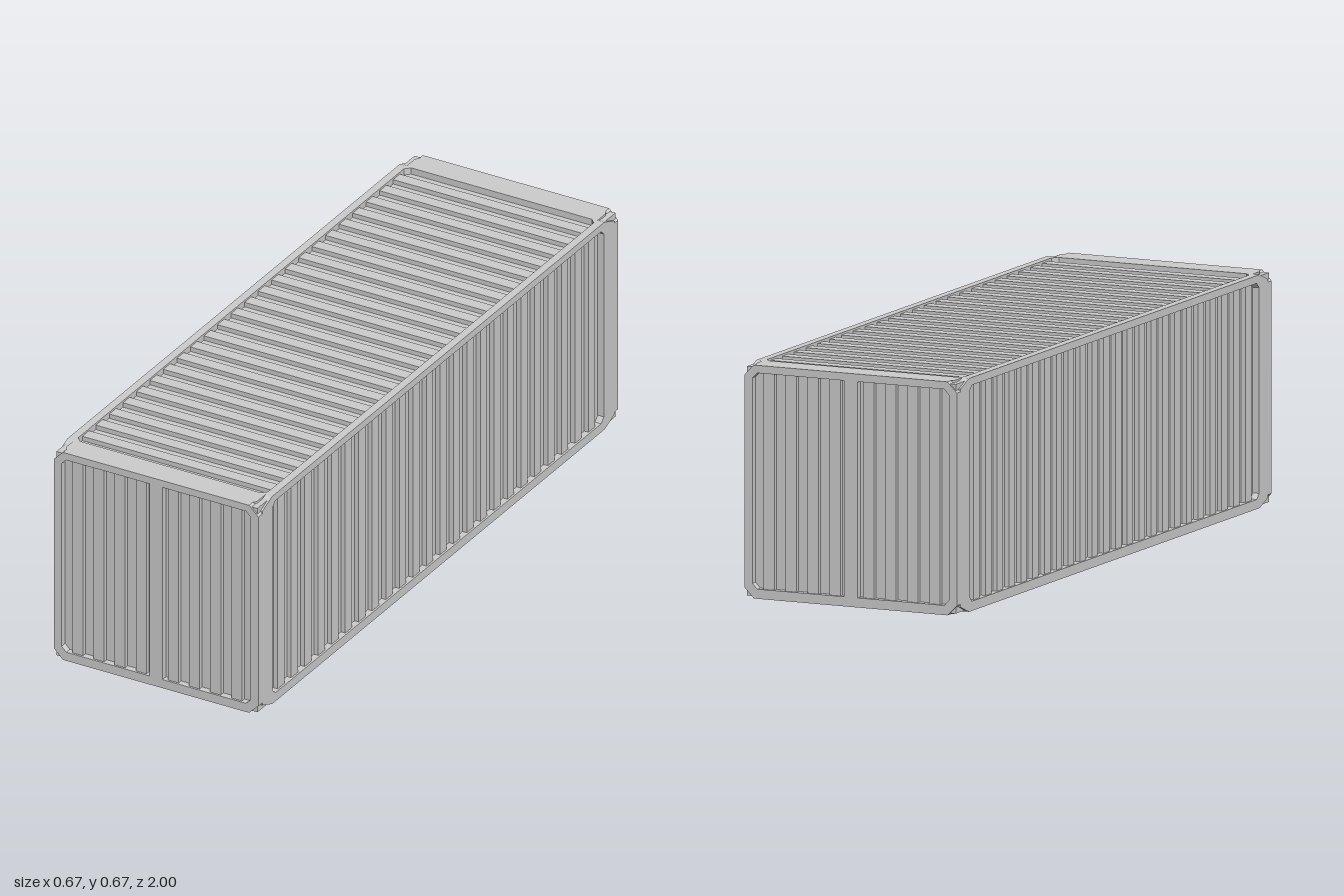
import * as THREE from 'three';

const W = 0.3335, H = 0.3335, L = 1;      // half sizes of the container
const T = 0.022;                          // frame thickness
const CREST = -0.006, TROUGH = -0.02;     // corrugation depths below the frame face
const material = new THREE.MeshStandardMaterial({ color: 0xcccccc, flatShading: true });

function mesh(name, geometry) {
  const m = new THREE.Mesh(geometry, material);
  m.name = name;
  return m;
}

// Eight-sided outline: rectangle with its corners cut by (cu, cv)
function cutRect(path, u0, u1, v0, v1, cu, cv) {
  path.moveTo(u0 + cu, v0);
  path.lineTo(u1 - cu, v0);
  path.lineTo(u1, v0 + cv);
  path.lineTo(u1, v1 - cv);
  path.lineTo(u1 - cu, v1);
  path.lineTo(u0 + cu, v1);
  path.lineTo(u0, v1 - cv);
  path.lineTo(u0, v0 + cv);
  path.closePath();
  return path;
}

// Flat frame, outer face at local z = 0, optionally with an opening
function frame(name, hu, hv, cu, cv, hole) {
  const shape = cutRect(new THREE.Shape(), -hu, hu, -hv, hv, cu, cv);
  if (hole) shape.holes.push(cutRect(new THREE.Path(), ...hole, 0.015, 0.015));
  const g = new THREE.ExtrudeGeometry(shape, { depth: T, bevelEnabled: false });
  return mesh(name, g.translate(0, 0, -T));
}

// Square-wave sheet from u0 to u1, with raised ribs [start, end]
function corrugated(name, u0, u1, v0, v1, ribs) {
  const s = new THREE.Shape();
  s.moveTo(u0, -T);
  s.lineTo(u1, -T);
  s.lineTo(u1, TROUGH);
  for (const [a, b] of [...ribs].reverse()) {
    s.lineTo(b, TROUGH);
    s.lineTo(b, CREST);
    s.lineTo(a, CREST);
    s.lineTo(a, TROUGH);
  }
  s.lineTo(u0, TROUGH);
  s.closePath();
  const g = new THREE.ExtrudeGeometry(s, { depth: v1 - v0, bevelEnabled: false });
  return mesh(name, g.rotateX(Math.PI / 2).translate(0, v1, 0));
}

function evenRibs(half, segments) {
  const step = (2 * half) / segments, ribs = [];
  for (let i = 1; i < segments; i += 2) ribs.push([-half + i * step, -half + (i + 1) * step]);
  return ribs;
}

// Place a face group: u and v span the face, n points outward
function face(name, u, v, n, distance, parts) {
  const g = new THREE.Group();
  g.name = name;
  g.add(...parts);
  const [U, V, N] = [u, v, n].map(a => new THREE.Vector3(...a));
  g.quaternion.setFromRotationMatrix(new THREE.Matrix4().makeBasis(U, V, N));
  g.position.copy(N).multiplyScalar(distance);
  g.position.y += H;
  return g;
}

export function createModel() {
  const model = new THREE.Group();
  model.name = 'shippingContainer';
  const v0 = -0.306, v1 = 0.3115;         // bottom and top of the wall openings

  // End walls with a flush centre post and four ribs on each half
  const endRibs = [];
  for (let i = 0; i < 4; i++) {
    const a = 0.035 + i * 0.069;
    endRibs.push([a, a + 0.0345], [-a - 0.0345, -a]);
  }
  endRibs.sort((p, q) => p[0] - q[0]);
  for (const s of [1, -1]) {
    const post = mesh('centrePost', new THREE.BoxGeometry(0.042, v1 - v0, T)
      .translate(0, (v0 + v1) / 2, -T / 2));
    model.add(face(s > 0 ? 'frontWall' : 'backWall', [s, 0, 0], [0, 1, 0], [0, 0, s], L, [
      frame('endFrame', W, H, 0.03, 0.03, [-0.308, 0.308, v0, v1]),
      corrugated('endPanel', -0.308, 0.308, v0, v1, endRibs),
      post,
    ]));
  }

  // Long side walls
  const longRibs = evenRibs(0.92, 49);
  for (const s of [1, -1]) {
    model.add(face(s > 0 ? 'leftWall' : 'rightWall', [0, 0, -s], [0, 1, 0], [s, 0, 0], W, [
      frame('sideFrame', L - T, H, 0.055, 0.022, [-0.92, 0.92, v0, v1]),
      corrugated('sidePanel', -0.92, 0.92, v0, v1, longRibs),
    ]));
  }

  // Roof and plain floor
  const hv = W - T;
  model.add(face('roof', [0, 0, 1], [1, 0, 0], [0, 1, 0], H, [
    frame('roofFrame', L - T, hv, 0.012, 0.005, [-0.92, 0.92, -0.3095, 0.3095]),
    corrugated('roofPanel', -0.92, 0.92, -0.3095, 0.3095, longRibs),
  ]));
  model.add(face('floor', [0, 0, 1], [-1, 0, 0], [0, -1, 0], H, [
    frame('floorPlate', L - T, hv, 0.012, 0.005),
  ]));

  // Slightly recessed corner castings
  for (const x of [-1, 1]) for (const y of [-1, 1]) for (const z of [-1, 1]) {
    const c = mesh('cornerCasting', new THREE.BoxGeometry(0.025, 0.023, 0.07));
    c.position.set(x * 0.315, H + y * 0.316, z * 0.96);
    model.add(c);
  }
  return model;
}
